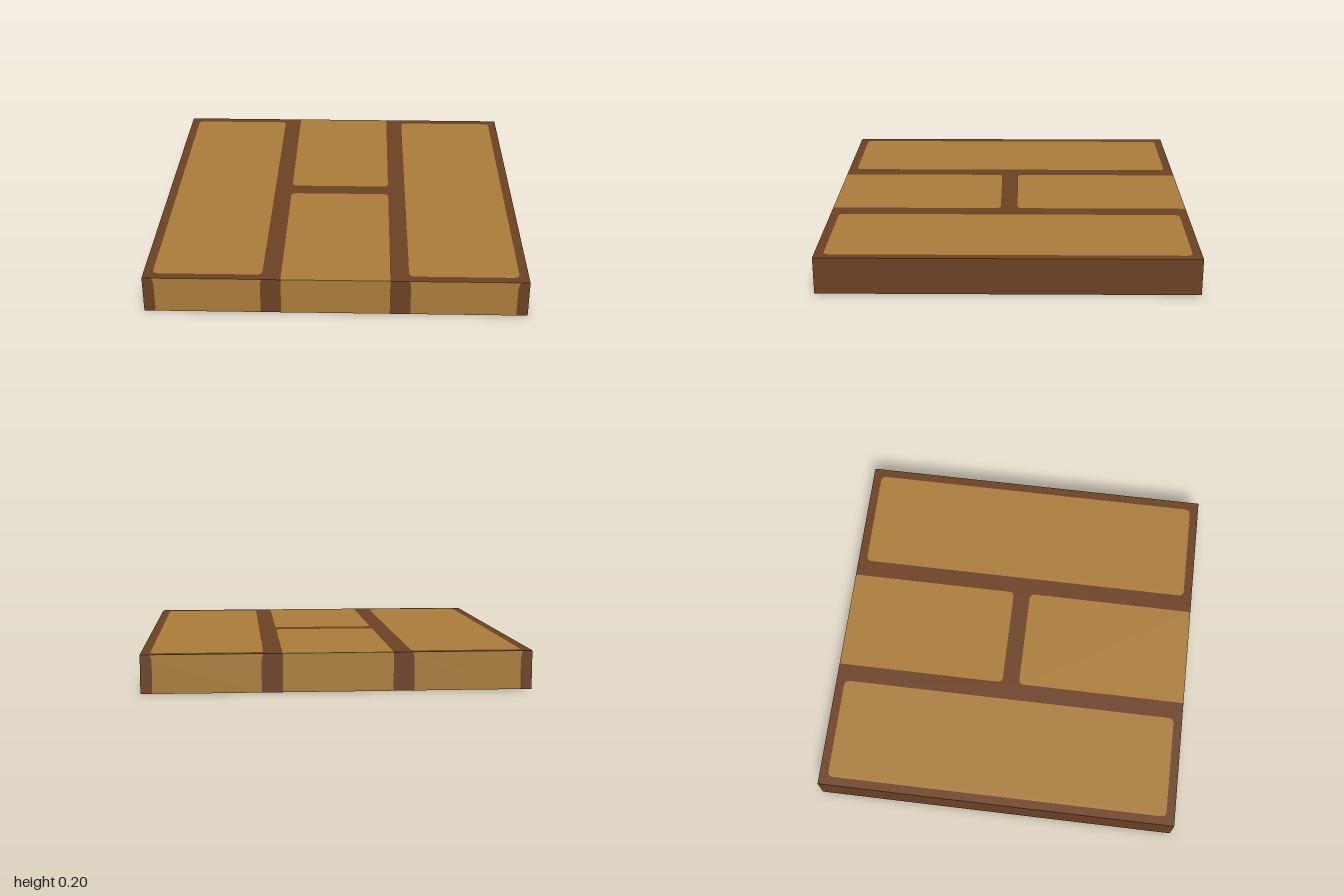
import * as THREE from 'three';

const H = 0.2;            // slab height
const IN = 0.283;         // half width of the middle planks
const PL = 0.381, PR = 0.952; // side plank from / to in x
const GAP = 0.048, R = 0.032;

export function createModel() {
  const group = new THREE.Group();
  group.name = 'plankTile';
  const mat = (name, color) =>
    Object.assign(new THREE.MeshStandardMaterial({ color, side: THREE.DoubleSide }), { name });
  const wood = mat('light wood', 0xa87b39);
  const grout = mat('dark wood', 0x6b4023);

  const add = (name, shape, material, place) => {
    const geo = new THREE.ShapeGeometry(shape, 5);
    place(geo);
    const mesh = new THREE.Mesh(geo, material);
    mesh.name = name;
    group.add(mesh);
  };
  const poly = (...pts) => new THREE.Shape(pts.map(([x, y]) => new THREE.Vector2(x, y)));
  const onTop = g => g.rotateX(-Math.PI / 2).translate(0, H, 0);
  const onFront = g => g.translate(0, 0, 1);
  const onBack = g => g.translate(0, 0, 1).rotateY(Math.PI);

  // Rounded outline of a side plank
  const plank = (path, x0, x1, y0, y1) => {
    path.moveTo(x0 + R, y0);
    path.lineTo(x1 - R, y0).quadraticCurveTo(x1, y0, x1, y0 + R);
    path.lineTo(x1, y1 - R).quadraticCurveTo(x1, y1, x1 - R, y1);
    path.lineTo(x0 + R, y1).quadraticCurveTo(x0, y1, x0, y1 - R);
    path.lineTo(x0, y0 + R).quadraticCurveTo(x0, y0, x0 + R, y0);
    return path;
  };
  // Open notch of a middle plank, running from one edge to the gap and back
  const notch = (path, s) => {
    path.lineTo(-s * IN, -s).lineTo(-s * IN, -s * (GAP + R));
    path.quadraticCurveTo(-s * IN, -s * GAP, -s * (IN - R), -s * GAP);
    path.lineTo(s * (IN - R), -s * GAP);
    path.quadraticCurveTo(s * IN, -s * GAP, s * IN, -s * (GAP + R));
    return path.lineTo(s * IN, -s);
  };

  // Top: dark joints with the planks let in flush
  const joints = new THREE.Shape().moveTo(-1, -1);
  notch(joints, 1).lineTo(1, -1).lineTo(1, 1);
  notch(joints, -1).lineTo(-1, 1).lineTo(-1, -1);
  for (const [x0, x1] of [[-PR, -PL], [PL, PR]]) {
    joints.holes.push(plank(new THREE.Path(), x0, x1, -PR, PR));
    add('sidePlank', plank(new THREE.Shape(), x0, x1, -PR, PR), wood, onTop);
  }
  add('joints', joints, grout, onTop);
  for (const s of [1, -1]) {
    const middle = new THREE.Shape().moveTo(-s * IN, -s);
    add('middlePlank', notch(middle, s), wood, onTop);
  }

  // Front and back walls: plank ends flare slightly near the top
  for (const place of [onFront, onBack]) {
    add('middlePlankEnd', poly([-IN, 0], [IN, 0], [IN, H], [-IN, H]), wood, place);
    for (const s of [1, -1]) {
      const inner = [[0.39, 0], [0.39, 0.165], [0.386, 0.185], [PL, H]];
      const outer = [[0.941, 0], [0.941, 0.165], [0.946, 0.185], [PR, H]];
      const side = pts => poly(...pts.map(([x, y]) => [s * x, y]));
      add('sidePlankEnd', side([...outer, ...inner.slice().reverse()]), wood, place);
      add('jointEnd', side([...inner, [IN, H], [IN, 0]]), grout, place);
      add('edgeEnd', side([...outer, [1, H], [1, 0]]), grout, place);
    }
  }

  // Plain left and right walls; the underside stays open
  for (const s of [1, -1]) {
    add('sideWall', poly([-1, 0], [1, 0], [1, H], [-1, H]), grout,
      g => g.translate(0, 0, 1).rotateY(s * Math.PI / 2));
  }

  // Face every flat part outwards, whichever way its outline was drawn
  group.children.forEach(m => m.geometry.computeVertexNormals());
  return group;
}
